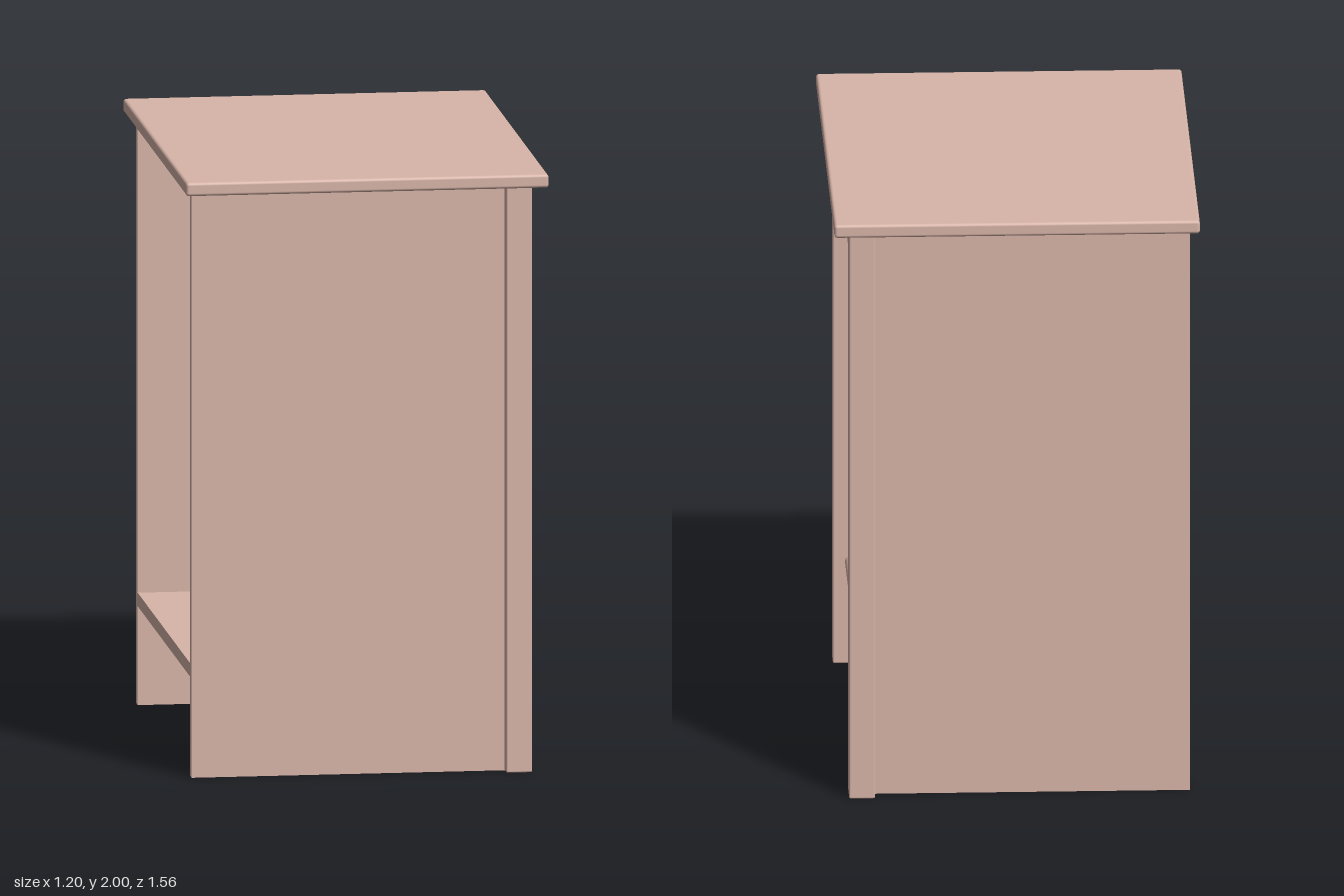
import * as THREE from 'three';
import { RoundedBoxGeometry } from 'three/addons/geometries/RoundedBoxGeometry.js';

const material = new THREE.MeshStandardMaterial({ color: 0xd8b4a8 });

const FACE = 0.47;      // x of the drawer, door and apron fronts
const THICK = 0.04;     // their thickness
const INNER = 0.645;    // half width of the opening between the side panels
const TOP = 1.955;      // underside of the top board

export function createModel() {
  const group = new THREE.Group();

  const add = (name, geometry, x = 0, y = 0, z = 0) => {
    const mesh = new THREE.Mesh(geometry, material);
    mesh.name = name;
    mesh.position.set(x, y, z);
    group.add(mesh);
    return mesh;
  };

  // box given by its limits; a radius rounds its edges
  const box = (name, x0, x1, y0, y1, z0, z1, r = 0) => {
    const size = [x1 - x0, y1 - y0, z1 - z0];
    const geometry = r ? new RoundedBoxGeometry(...size, 3, r) : new THREE.BoxGeometry(...size);
    return add(name, geometry, (x0 + x1) / 2, (y0 + y1) / 2, (z0 + z1) / 2);
  };

  // outline in the (z, y) plane, extruded along +x up to the front face
  const facing = (name, shape) => {
    const geometry = new THREE.ExtrudeGeometry(shape, { depth: THICK, bevelEnabled: false, curveSegments: 12 });
    geometry.rotateY(Math.PI / 2);
    return add(name, geometry, FACE - THICK);
  };

  const rectangle = (path, w, y0, y1) => {
    path.moveTo(-w, y0);
    path.lineTo(w, y0);
    path.lineTo(w, y1);
    path.lineTo(-w, y1);
    path.closePath();
    return path;
  };

  // board with a half-round nose on its front edge
  const nosedBoard = (name, x0, x1, y0, y1) => {
    const r = (y1 - y0) / 2;
    const shape = new THREE.Shape();
    shape.moveTo(x0, y0);
    shape.lineTo(x1 - r, y0);
    shape.absarc(x1 - r, y0 + r, r, -Math.PI / 2, Math.PI / 2, false);
    shape.lineTo(x0, y1);
    shape.closePath();
    const geometry = new THREE.ExtrudeGeometry(shape, { depth: INNER * 2, bevelEnabled: false, curveSegments: 12 });
    add(name, geometry, 0, 0, -INNER);
  };

  // top board
  box('topBoard', -0.6, 0.6, TOP, 2, -0.78, 0.78, 0.01);

  // side panels and the front posts that cover their edges
  for (const s of [-1, 1]) {
    const side = box('sidePanel', -0.57, 0.5, 0, TOP, -0.0225, 0.0225);
    side.position.z = s * 0.6675;
    const post = box('frontPost', 0.465, 0.55, 0, TOP, -0.0475, 0.0475, 0.005);
    post.position.z = s * 0.6925;
  }

  // bottom shelf and the rail between drawer and door
  nosedBoard('bottomShelf', -0.57, 0.51, 0.33, 0.375);
  nosedBoard('drawerRail', FACE - THICK, 0.51, 1.515, 1.56);

  // drawer front
  box('drawerFront', FACE - THICK, FACE, 1.56, TOP, -INNER, INNER);

  // door frame, with a groove around the centre panel
  const door = rectangle(new THREE.Shape(), INNER, 0.375, 1.515);
  door.holes.push(rectangle(new THREE.Path(), 0.415, 0.605, 1.285));
  facing('doorFrame', door);
  box('doorGroove', FACE - THICK, FACE - 0.015, 0.605, 1.285, -0.415, 0.415);
  box('doorPanel', FACE - 0.03, FACE, 0.64, 1.255, -0.38, 0.38);

  // apron with an arched cutout
  const apron = new THREE.Shape();
  apron.moveTo(-INNER, 0);
  apron.lineTo(-0.48, 0);
  apron.lineTo(-0.38, 0.1);
  apron.bezierCurveTo(-0.33, 0.15, -0.29, 0.168, -0.23, 0.168);
  apron.lineTo(0.23, 0.168);
  apron.bezierCurveTo(0.29, 0.168, 0.33, 0.15, 0.38, 0.1);
  apron.lineTo(0.48, 0);
  apron.lineTo(INNER, 0);
  apron.lineTo(INNER, 0.33);
  apron.lineTo(-INNER, 0.33);
  apron.closePath();
  facing('apron', apron);

  // knobs: thin stem and domed cap
  const profile = [
    [0, 0], [0.018, 0], [0.016, 0.025], [0.02, 0.035], [0.044, 0.042],
    [0.049, 0.049], [0.045, 0.06], [0.034, 0.069], [0.018, 0.075], [0, 0.077],
  ].map(([r, h]) => new THREE.Vector2(r, h));
  const knob = new THREE.LatheGeometry(profile, 32).rotateZ(-Math.PI / 2);
  add('drawerKnob', knob, FACE, 1.76, 0);
  add('doorKnob', knob, FACE, 0.947, -0.575);

  return group;
}
